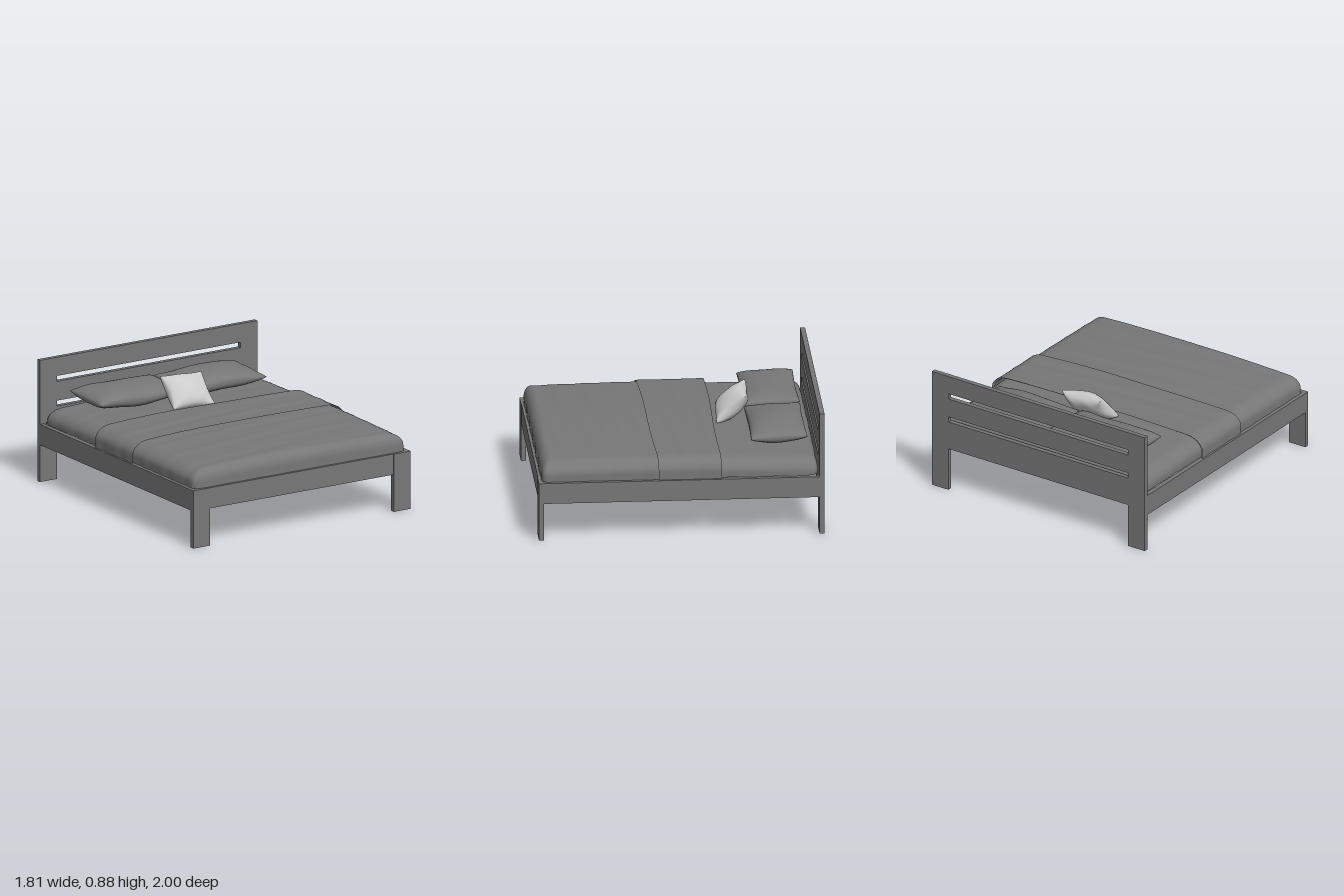
import * as THREE from 'three';
import { mergeVertices } from 'three/addons/utils/BufferGeometryUtils.js';

const FRAME = new THREE.MeshStandardMaterial({ color: 0x777777 });
const CLOTH = new THREE.MeshStandardMaterial({ color: 0x777777, side: THREE.DoubleSide });
const LIGHT = new THREE.MeshStandardMaterial({ color: 0xcccccc, side: THREE.DoubleSide });

function add(parent, name, geometry, material, x = 0, y = 0, z = 0) {
  const mesh = new THREE.Mesh(geometry, material);
  mesh.name = name;
  mesh.position.set(x, y, z);
  parent.add(mesh);
  return mesh;
}

// Indexed grid whose points come from f(u, v), both running -1..1
function surface(nu, nv, f) {
  const pos = [], index = [];
  for (let j = 0; j <= nv; j++) {
    for (let i = 0; i <= nu; i++) {
      pos.push(...f((i / nu) * 2 - 1, (j / nv) * 2 - 1));
      if (i < nu && j < nv) {
        const a = j * (nu + 1) + i, b = a + nu + 1;
        index.push(a, b, a + 1, a + 1, b, b + 1);
      }
    }
  }
  const g = new THREE.BufferGeometry();
  g.setAttribute('position', new THREE.Float32BufferAttribute(pos, 3));
  g.setIndex(index);
  g.computeVertexNormals();
  return g;
}

// Headboard with two legs and two slots, cut from one plank
function headboard() {
  const path = points => points.map(p => new THREE.Vector2(...p));
  const s = new THREE.Shape(path([
    [-0.905, 0], [-0.765, 0], [-0.765, 0.32], [0.765, 0.32],
    [0.765, 0], [0.905, 0], [0.905, 0.885], [-0.905, 0.885],
  ]));
  for (const y of [0.53, 0.71]) {
    s.holes.push(new THREE.Path(path([
      [-0.765, y], [-0.765, y + 0.04], [0.765, y + 0.04], [0.765, y],
    ])));
  }
  return new THREE.ExtrudeGeometry(s, { depth: 0.035, bevelEnabled: false });
}

// Cloth laid over the mattress: flat top, rounded shoulders, hem near the rails.
// roundBack / roundFront tell which ends also fold down.
function drape({ halfW, back, front, roundBack, roundFront, height, hem, ripple }) {
  const rx = 0.12, rz = 0.07;
  const innerX = halfW - rx;
  const zMin = back + (roundBack ? rz : 0), zMax = front - (roundFront ? rz : 0);
  // Spend a fixed share of the grid on each shoulder
  const split = (t, lo, hi, startRound, endRound) => {
    const k = 0.7;
    if (startRound && t < -k) return [lo, (t + k) / (1 - k)];
    if (endRound && t > k) return [hi, (t - k) / (1 - k)];
    const a = startRound ? -k : -1, b = endRound ? k : 1;
    return [lo + (hi - lo) * (t - a) / (b - a), 0];
  };
  return surface(80, 90, (u, v) => {
    const [cx, ex] = split(u, -innerX, innerX, true, true);
    const [cz, ez] = split(v, zMin, zMax, roundBack, roundFront);
    const d = Math.max(Math.abs(ex), Math.abs(ez));
    const len = Math.pow(ex ** 4 + ez ** 4, 0.25) || 1; // keeps corners fairly square
    const bend = Math.min(d / 0.75, 1) * Math.PI / 2;
    const out = Math.sin(bend);
    const x = cx + rx * out * ex / len;
    const z = cz + rz * out * ez / len;
    const top = height(x, z);
    const shoulder = 0.085 * (1 - Math.cos(bend));
    const drop = d > 0.75 ? (top - 0.085 - hem) * (d - 0.75) / 0.25 : 0;
    const wave = ripple * (Math.sin(31 * z + 3 * Math.sin(2.3 * x)) + 0.6 * Math.sin(53 * z + 4 * x));
    return [
      x + Math.sign(ex) * wave * d * 1.2,
      top - shoulder - drop + wave * (1 - d),
      z + 0.002 * Math.sin(23 * x) * Math.abs(ez),
    ];
  });
}

// Stuffed pillow lying flat: two bulging faces that meet at a pinched seam
function pillow(w, d, thick, pinch, seed) {
  const pos = [], index = [];
  for (const side of [1, -1]) {
    const face = surface(36, 28, (a, b) => {
      const u = side * Math.sin(a * Math.PI / 2), v = Math.sin(b * Math.PI / 2);
      const puff = Math.pow(Math.max(0, (1 - u * u) * (1 - v * v)), 0.4);
      const crease = 1 + 0.05 * Math.sin(7 * u + 5 * v + seed) * (u * u + v * v);
      const seam = 0.005 * Math.sin(4 * u + seed) + 0.01 * u * u * v * v;
      return [
        u * w / 2 * (1 - pinch * (1 - v * v)),
        side * thick / 2 * puff * crease + seam,
        v * d / 2 * (1 - pinch * (1 - u * u)),
      ];
    });
    const base = pos.length / 3;
    pos.push(...face.attributes.position.array);
    index.push(...Array.from(face.index.array, i => i + base));
  }
  // Weld the rim where the faces meet
  const g = new THREE.BufferGeometry();
  g.setAttribute('position', new THREE.Float32BufferAttribute(pos, 3));
  g.setIndex(index);
  const welded = mergeVertices(g, 1e-5);
  welded.computeVertexNormals();
  return welded;
}

export function createModel() {
  const bed = new THREE.Group();
  bed.name = 'bed';

  // Frame
  const frame = new THREE.Group();
  frame.name = 'frame';
  bed.add(frame);
  add(frame, 'headboard', headboard(), FRAME, 0, 0, -1);
  add(frame, 'footRail', new THREE.BoxGeometry(1.53, 0.15, 0.031), FRAME, 0, 0.345, 0.9815);
  for (const [side, name] of [[1, 'left'], [-1, 'right']]) {
    add(frame, name + 'FootLeg', new THREE.BoxGeometry(0.14, 0.42, 0.035), FRAME, side * 0.835, 0.21, 0.9825);
    add(frame, name + 'Rail', new THREE.BoxGeometry(0.033, 0.15, 1.93), FRAME, side * 0.8885, 0.345, 0);
  }

  // Flat underside of the mattress, with a small step across the middle
  add(bed, 'mattressBaseHead', new THREE.BoxGeometry(1.72, 0.01, 0.99), FRAME, 0, 0.425, -0.46);
  add(bed, 'mattressBaseFoot', new THREE.BoxGeometry(1.74, 0.01, 0.93), FRAME, 0, 0.42, 0.5);

  // Bedding
  const crown = x => 0.02 * (1 - (x / 0.88) ** 2);
  add(bed, 'mattressSheet', drape({
    halfW: 0.868, back: -0.96, front: 0.17, roundBack: true, roundFront: false, hem: 0.42, ripple: 0.001,
    height: (x, z) => 0.535 + crown(x) + 0.015 * (z + 0.6),
  }), CLOTH);
  add(bed, 'bedspread', drape({
    halfW: 0.878, back: -0.27, front: 0.978, roundBack: false, roundFront: true, hem: 0.415, ripple: 0.0012,
    height: (x, z) => 0.556 + crown(x) - 0.012 * Math.max(0, z) ** 2,
  }), CLOTH);
  const band = drape({
    halfW: 0.89, back: -0.28, front: 0.18, roundBack: false, roundFront: false, hem: 0.42, ripple: 0.0015,
    height: x => 0.564 + crown(x),
  });
  // Let the folded band run slightly askew
  const p = band.attributes.position;
  for (let i = 0; i < p.count; i++) {
    const x = p.getX(i), z = p.getZ(i);
    p.setZ(i, z - 0.02 * x * (z + 0.28) / 0.46 + 0.006 * Math.sin(4 * x));
  }
  band.computeVertexNormals();
  add(bed, 'foldedBand', band, CLOTH);

  // Pillows
  const leftPillow = add(bed, 'leftPillow', pillow(0.68, 0.395, 0.15, 0.03, 1), CLOTH, 0.34, 0.63, -0.7);
  const rightPillow = add(bed, 'rightPillow', pillow(0.68, 0.395, 0.15, 0.03, 4), CLOTH, -0.36, 0.63, -0.7);
  leftPillow.rotation.x = rightPillow.rotation.x = 0.04;
  const cushion = add(bed, 'cushion', pillow(0.335, 0.28, 0.15, 0.07, 2), LIGHT, -0.035, 0.658, -0.418);
  cushion.rotation.set(0.75, -0.06, 0);

  return bed;
}
